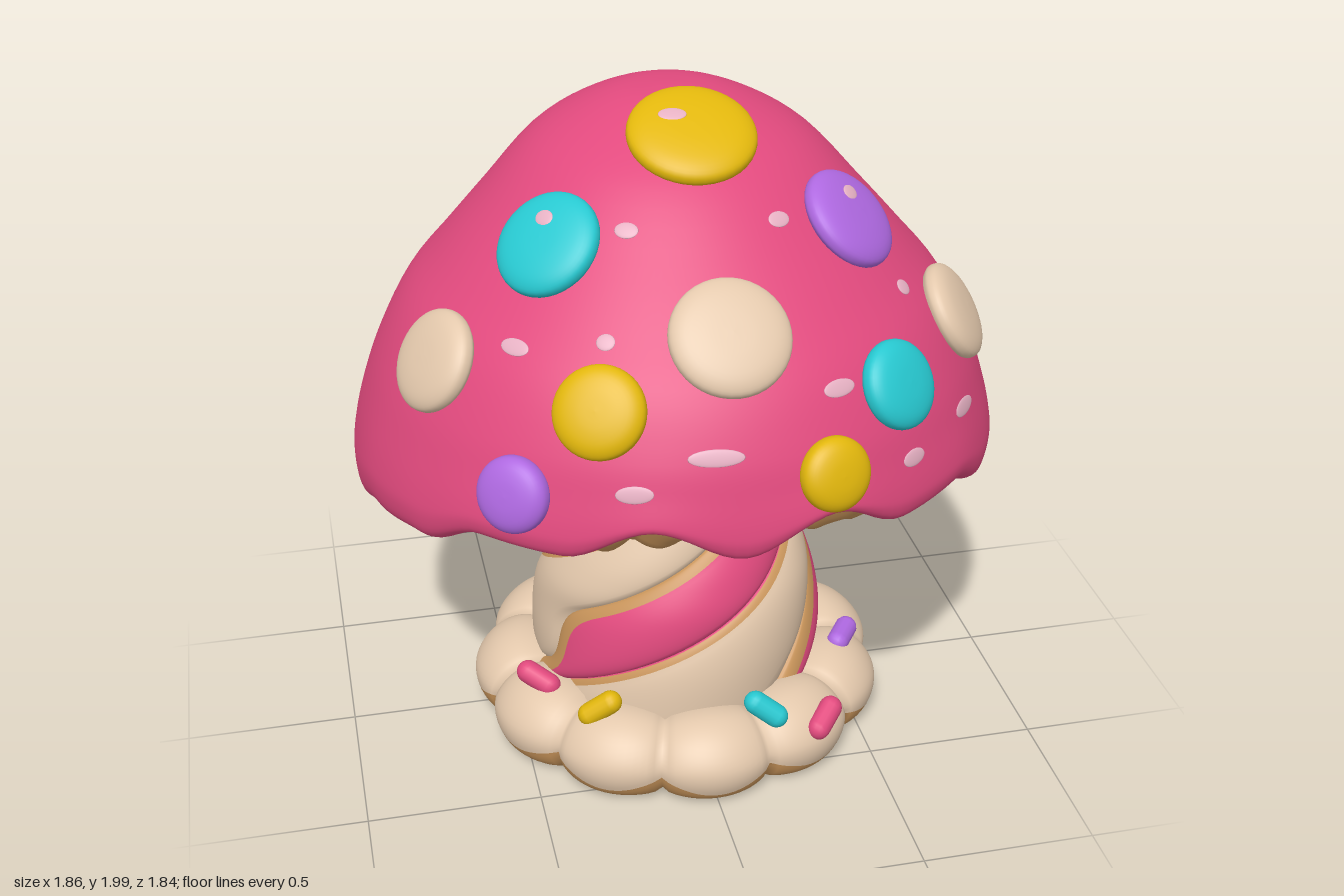
import * as THREE from 'three';
import { mergeVertices } from 'three/addons/utils/BufferGeometryUtils.js';

const TAU = Math.PI * 2;
const { lerp, clamp, smoothstep, degToRad } = THREE.MathUtils;
const material = (name, color) => Object.assign(new THREE.MeshStandardMaterial({ color }), { name });
const mats = {
  pink: material('pink', 0xe24a7e),
  cream: material('cream', 0xe3c8ac),
  tan: material('tan', 0xc8945a),
  yellow: material('yellow', 0xe2b70c),
  cyan: material('cyan', 0x27c8d0),
  purple: material('purple', 0xae68e0),
  blush: material('pale pink', 0xe5b0c2),
  slate: material('slate blue', 0x7f93b5),
};

// Smooth surface from f(u, v): u runs to the right, v runs downward.
function grid(nu, nv, f) {
  const pos = [], idx = [];
  for (let j = 0; j <= nv; j++)
    for (let i = 0; i <= nu; i++) pos.push(...f(i / nu, j / nv));
  for (let j = 0; j < nv; j++)
    for (let i = 0; i < nu; i++) {
      const a = j * (nu + 1) + i, c = a + nu + 1;
      idx.push(a, c, a + 1, a + 1, c, c + 1);
    }
  let g = new THREE.BufferGeometry();
  g.setAttribute('position', new THREE.Float32BufferAttribute(pos, 3));
  g.setIndex(idx);
  g = mergeVertices(g);
  g.computeVertexNormals();
  return g;
}
const spline = pts => new THREE.CatmullRomCurve3(pts.map(([x, y, z = 0]) => new THREE.Vector3(x, y, z)));

// Cap profile: radius, height and forward shift of each ring
const capCurve = spline([[0, 1.95, -0.06], [0.14, 1.935, -0.06], [0.28, 1.88, -0.055], [0.4, 1.805, -0.035],
  [0.545, 1.65, -0.005], [0.665, 1.515, 0.012], [0.762, 1.4, 0.018], [0.842, 1.25, 0.018], [0.888, 1.13, 0.005],
  [0.92, 1.02, -0.005], [0.93, 0.95, -0.01], [0.915, 0.88, -0.01], [0.87, 0.85, -0.01], [0.82, 0.88, -0.01],
  [0.8, 0.95, -0.01]]);
// Wavy rim height every 15 degrees, from front to back
const rimHeights = [0.98, 1.08, 0.975, 0.98, 0.885, 0.855, 0.785, 0.8, 0.7, 0.73, 0.69, 0.715, 0.69];
function rim(a) {
  const k = Math.acos(Math.cos(a)) / Math.PI * 12, i = Math.min(11, Math.floor(k));
  return lerp(rimHeights[i], rimHeights[i + 1], smoothstep(k - i, 0, 1));
}
function capPoint(a, t) {
  const p = capCurve.getPoint(t);
  const s = Math.max(0, (1.35 - p.y) / 0.5);
  return [p.x * Math.sin(a), p.y + (rim(a) - 0.85) * s * s, p.x * Math.cos(a) * (1 - 0.02 * Math.min(1, s)) + p.z];
}

// Underside with plump, slightly swirling ridges
const gillRows = [[0.83, 0], [0.77, 0.45], [0.7, 0.85], [0.5, 1], [0.36, 1], [0.2, 1]];
function gillPoint(u, v) {
  const k = Math.min(4.999, v * 5), i = Math.floor(k), f = k - i;
  const r = lerp(gillRows[i][0], gillRows[i + 1][0], f);
  const w = lerp(gillRows[i][1], gillRows[i + 1][1], f);
  const a = u * TAU, z = r * Math.cos(a);
  const ridge = 0.04 * Math.abs(Math.sin(15 * (a + 0.4 * v))) * Math.min(1, v * 4);
  return [r * Math.sin(a), lerp(rim(a) + 0.05, 0.78 + 0.22 * z, w) - ridge, z];
}

// Stalk: three twisted turns, each a pink and a cream bulge that flares at the foot
const stalkCurve = spline([[0.26, 0.92], [0.3, 0.75], [0.36, 0.6], [0.395, 0.5], [0.42, 0.35], [0.43, 0.15]]);
const flare = y => 1 - smoothstep(y, 0.2, 0.48);
const flared = y => 0.54 - 0.4 * flare(y);
const tapered = y => clamp(0.2 + 1.05 * (y - 0.22), 0.13, 0.73);
const creamStarts = [flared, flared, tapered];
function stalkPoint(turn, wAt, v) {
  const p = stalkCurve.getPoint(v), w = wAt(p.y), e = creamStarts[turn](p.y);
  const a = (p.y - 0.44) / 0.205 - (w + turn) * TAU / 3;
  const bulge = Math.sin(Math.PI * (w < e ? w / e : (w - e) / (1 - e)));
  const r = p.x - 0.012 + 0.03 * Math.sqrt(Math.max(0, bulge));
  return [r * Math.sin(a), p.y, r * Math.cos(a) + 0.04];
}

// Base: scalloped ring, cream above and tan below
const baseCurve = spline([[0.36, 0.2], [0.43, 0.228], [0.5, 0.23], [0.57, 0.195], [0.618, 0.13],
  [0.618, 0.07], [0.585, 0.015], [0.51, 0]]);
function basePoint(a, t) {
  const p = baseCurve.getPoint(t);
  const lobe = Math.pow(Math.abs(Math.cos(5.5 * a)), 0.6);
  const r = p.x * (1 - 0.13 * (1 - lobe) * t);
  return [r * Math.sin(a), p.y * (0.84 + 0.16 * lobe), r * Math.cos(a) + 0.045];
}
const baseSplit = a => 0.78 - 0.14 * (1 - Math.abs(Math.cos(5.5 * a))) - 0.05 * (1 - Math.cos(a));

export function createModel() {
  const model = new THREE.Group();
  const add = (name, geometry, mat, parent = model) => {
    const m = new THREE.Mesh(geometry, mat);
    m.name = name;
    parent.add(m);
    return m;
  };
  const group = name => {
    const g = new THREE.Group();
    g.name = name;
    model.add(g);
    return g;
  };

  add('cap', grid(192, 60, (u, v) => capPoint(u * TAU, v)), mats.pink);
  add('gills', grid(300, 25, gillPoint), mats.tan);

  // Stalk bands: two cream ones over the front, the rest pink
  const stalk = group('stalk');
  const band = (name, color, turn, w0, w1, v0 = 0, v1 = 1) => add(name, grid(16, 48, (u, v) =>
    stalkPoint(turn, y => lerp(w1(y), w0(y), u), lerp(v0, v1, v))), mats[color], stalk);
  const zero = () => 0, one = () => 1;
  function creamTurn(turn, end, v0) {
    const start = creamStarts[turn];
    const edge = y => start(y) - 0.07, trim = y => end(y) + 0.045;
    band('pinkBand', 'pink', turn, zero, edge, v0);
    band('bandEdge', 'tan', turn, edge, start, v0);
    band('creamBand', 'cream', turn, start, end, v0);
    band('bandEdge', 'tan', turn, end, trim, v0);
    band('pinkBand', 'pink', turn, trim, one, v0);
  }
  creamTurn(0, y => 0.95 - 0.36 * flare(y), 0);
  creamTurn(2, () => 0.95, 0.24);
  band('bandEnd', 'tan', 2, tapered, () => 0.97, 0.215, 0.24);
  band('pinkBand', 'pink', 2, zero, tapered, 0.215, 0.24);
  band('pinkBand', 'pink', 2, () => 0.97, one, 0.215, 0.24);
  band('pinkBand', 'pink', 2, zero, one, 0, 0.215);
  band('pinkBand', 'pink', 1, zero, flared);
  band('pinkBand', 'pink', 1, flared, one);
  band('stalkFleck', 'blush', 1, () => 0.62, () => 0.69, 0.81, 0.89).scale.set(1.01, 1, 1.01);

  // Base
  const base = group('base');
  add('baseTop', grid(176, 24, (u, v) => basePoint(u * TAU, v * baseSplit(u * TAU))), mats.cream, base);
  add('baseSkirt', grid(176, 10, (u, v) => basePoint(u * TAU, lerp(baseSplit(u * TAU), 1, v))), mats.tan, base);
  add('baseBottom', grid(176, 1, (u, v) => {
    const [x, , z] = basePoint(u * TAU, 1);
    return [x * (1 - v), 0, lerp(z, 0.045, v)];
  }), mats.tan, base);

  // Sets a shape on the cap at a bearing (degrees) and height, its y axis facing out
  function onCap(name, geometry, parent, color, deg, y, rx, rz, depth, lift) {
    const a = degToRad(deg);
    let t = 0;
    while (t < 0.75 && capPoint(a, t)[1] > y) t += 0.002;
    const at = (da, dt) => new THREE.Vector3(...capPoint(a + da, t + dt));
    const across = at(0.02, 0).sub(at(-0.02, 0)).normalize();
    const down = at(0, 0.02).sub(at(0, -0.02)).normalize();
    const normal = down.clone().cross(across).normalize();
    down.crossVectors(across, normal);
    const m = add(name, geometry, mats[color], parent);
    m.quaternion.setFromRotationMatrix(new THREE.Matrix4().makeBasis(across, normal, down));
    m.position.copy(at(0, 0)).addScaledVector(normal, lift);
    m.scale.set(rx, depth, rz);
  }

  // Candy spots, pillow shaped: colour, bearing, height, radius
  const spots = group('spots');
  const pillow = new THREE.LatheGeometry(new THREE.SplineCurve([[0, -1], [0.75, -0.75], [0.96, -0.35], [1, 0],
    [0.95, 0.4], [0.75, 0.75], [0.4, 0.95], [0, 1]].map(p => new THREE.Vector2(...p))).getPoints(24), 40);
  for (const [color, deg, y, r, lift = 0.01] of [
    ['yellow', 0, 1.88, 0.174, 0.026], ['cyan', -49, 1.67, 0.148], ['purple', 49, 1.67, 0.148],
    ['cream', 0, 1.52, 0.16], ['cream', -65, 1.37, 0.14], ['cream', 65, 1.37, 0.14],
    ['yellow', -26, 1.37, 0.122], ['cyan', 34, 1.34, 0.12], ['purple', -39, 1.145, 0.102],
    ['yellow', 15.5, 1.195, 0.099]]) onCap('spot', pillow, spots, color, deg, y, r, r, 0.048, lift);

  // Pale flecks: bearing, height, half length, lift (higher ones sit on spots)
  const flecks = group('flecks');
  const ball = new THREE.SphereGeometry(1, 20, 12);
  for (const [deg, y, r, lift = 0.004] of [[-26, 1.725, 0.032], [23, 1.725, 0.032], [-47, 1.465, 0.044],
    [-27, 1.51, 0.025], [20.5, 1.385, 0.048], [-5, 1.275, 0.074], [-18.5, 1.19, 0.05], [52, 1.18, 0.064],
    [52, 1.5, 0.026], [33, 1.155, 0.042], [-10, 1.893, 0.038, 0.073], [-50, 1.705, 0.027, 0.055],
    [50, 1.705, 0.027, 0.055]]) onCap('fleck', ball, flecks, 'blush', deg, y, r, 0.023, 0.0045, lift);

  // Sprinkles lying on the base: colour, centre, direction
  const sprinkles = group('sprinkles');
  const capsule = new THREE.CapsuleGeometry(0.034, 0.075, 6, 14);
  for (const [color, p, d] of [
    ['pink', [-0.46, 0.24, 0.25], [0.8, -0.4, 0.6]], ['yellow', [-0.31, 0.242, 0.435], [0.8, 0.6, 0.2]],
    ['cyan', [0.16, 0.24, 0.54], [0.8, -0.6, 0.25]], ['pink', [0.34, 0.177, 0.535], [0.7, 0.45, -0.7]],
    ['purple', [0.49, 0.224, 0.2], [0.6, 0.05, -0.85]], ['pink', [0.48, 0.17, -0.31], [0.3, -0.1, -0.95]],
    ['purple', [-0.12, 0.238, -0.45], [0.95, 0.05, -0.2]], ['slate', [-0.115, 0.228, -0.466], [0.95, 0.05, -0.2]]]) {
    const m = add('sprinkle', capsule, mats[color], sprinkles);
    m.position.set(...p);
    m.quaternion.setFromUnitVectors(new THREE.Vector3(0, 1, 0), new THREE.Vector3(...d).normalize());
  }
  return model;
}
